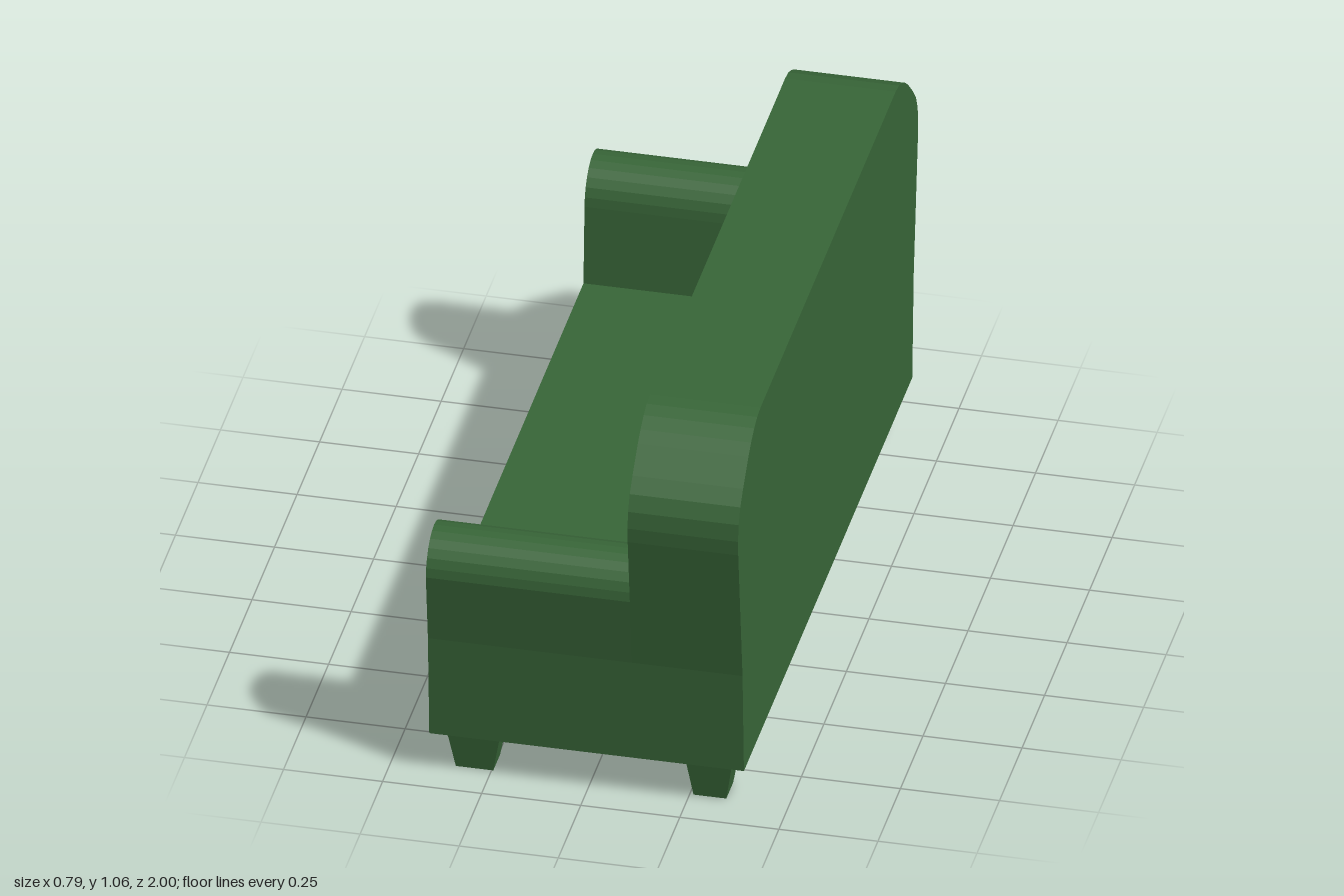
import * as THREE from 'three';

const material = new THREE.MeshStandardMaterial({ color: 0x386638, flatShading: true });

// Extrudes a closed (z, y) outline along x from x0 to x1
function extrudeAlongX(name, outline, x0, x1) {
  const shape = new THREE.Shape(outline.map(([z, y]) => new THREE.Vector2(z, y)));
  const geometry = new THREE.ExtrudeGeometry(shape, { depth: x1 - x0, bevelEnabled: false });
  geometry.rotateY(-Math.PI / 2).translate(x1, 0, 0);
  const mesh = new THREE.Mesh(geometry, material);
  mesh.name = name;
  return mesh;
}

// Completes a half outline (running bottom to top on +z) with its mirror image
const mirrored = (half) => [...half, ...half.map(([z, y]) => [-z, y]).reverse()];

// Tapered rectangular foot: a box whose bottom is narrowed
function foot(name, x, z, width, depth, height) {
  const geometry = new THREE.BoxGeometry(width, height, depth);
  const p = geometry.attributes.position;
  for (let i = 0; i < p.count; i++) {
    if (p.getY(i) < 0) p.setXYZ(i, p.getX(i) * 0.69, p.getY(i), p.getZ(i) * 0.72);
  }
  geometry.computeVertexNormals();
  const mesh = new THREE.Mesh(geometry, material);
  mesh.position.set(x, height / 2, z);
  mesh.name = name;
  return mesh;
}

export function createModel() {
  const sofa = new THREE.Group();
  sofa.name = 'sofa';
  const base = 0.115;
  const split = 0.118;

  // Seat and arms share one U-shaped section with rounded arm tops
  const seatHalf = [[0.935, base], [0.95, 0.4]];
  const steps = 12;
  for (let i = 0; i <= steps; i++) {
    const a = (i / steps) * Math.PI;
    seatHalf.push([0.881 + 0.092 * Math.cos(a), 0.59 + 0.098 * Math.sin(a)]);
  }
  seatHalf.push([0.777, 0.375]);
  sofa.add(extrudeAlongX('seatAndArms', mirrored(seatHalf), -0.397, split));

  // Backrest, flaring outwards and rounded at the shoulders
  const backHalf = [
    [0.935, base], [0.95, 0.4], [0.998, 0.78], [1.0, 0.82], [0.994, 0.865],
    [0.975, 0.905], [0.944, 0.94], [0.885, 0.997], [0.855, 1.02],
    [0.82, 1.04], [0.787, 1.053], [0.75, 1.058],
  ];
  sofa.add(extrudeAlongX('backrest', mirrored(backHalf), split, 0.397));

  // Four feet, the front pair slightly wider
  for (const side of [-1, 1]) {
    sofa.add(foot('frontFoot', -0.293, side * 0.852, 0.137, 0.105, base));
    sofa.add(foot('rearFoot', 0.301, side * 0.852, 0.12, 0.105, base));
  }
  return sofa;
}
